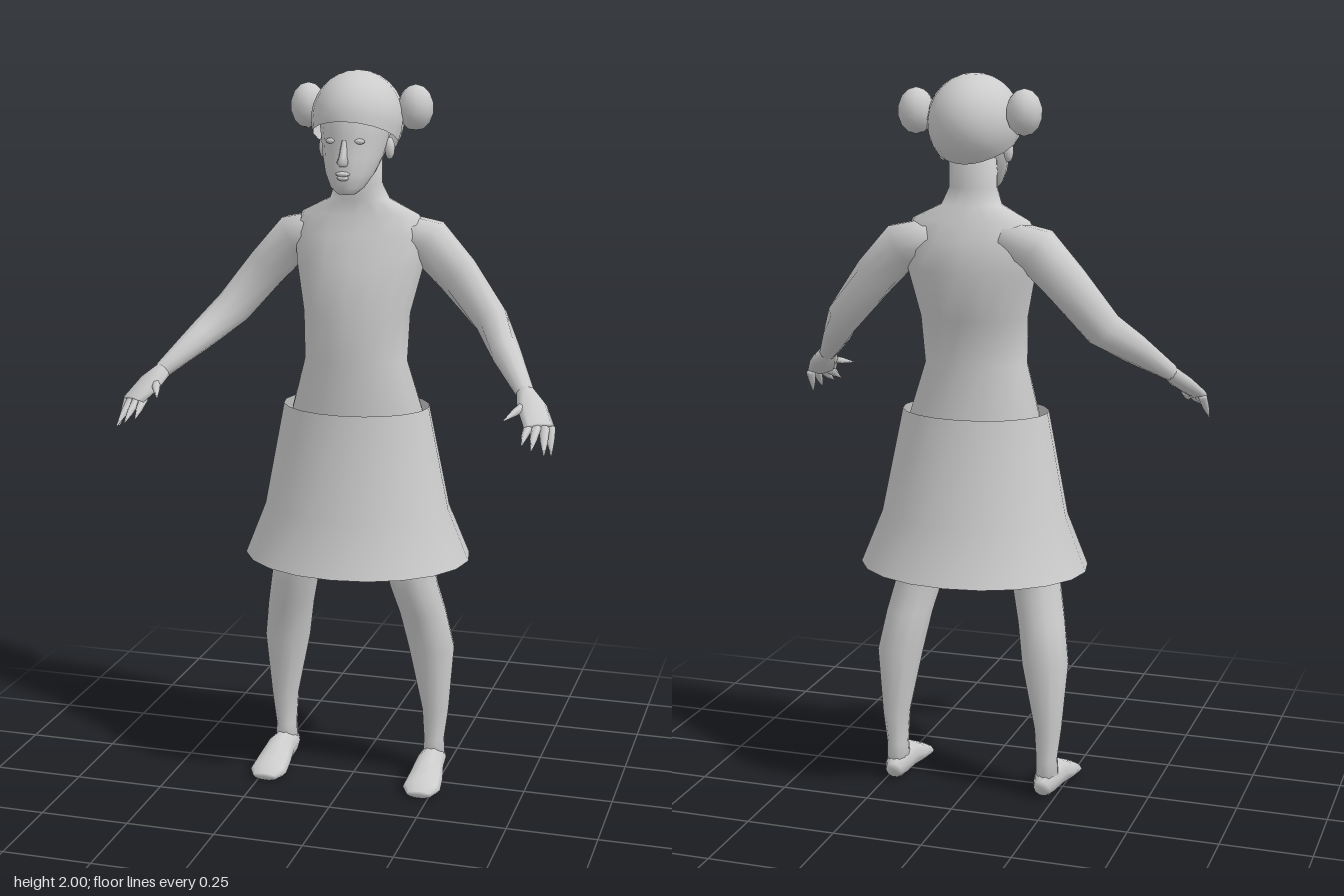
import * as THREE from 'three';

const clay = new THREE.MeshStandardMaterial({ color: 0xcccccc, side: THREE.DoubleSide });
clay.name = 'light grey';

const V = (x, y, z) => new THREE.Vector3(x, y, z);

// Skin between elliptical sections {c, u, v}; u x v points along the path
function loft(sections, n, capped = true) {
  const pos = [], index = [];
  for (const { c, u, v } of sections) {
    for (let i = 0; i < n; i++) {
      const a = (i / n) * Math.PI * 2;
      const p = c.clone().addScaledVector(u, Math.cos(a)).addScaledVector(v, Math.sin(a));
      pos.push(p.x, p.y, p.z);
    }
  }
  for (let j = 0; j < sections.length - 1; j++) {
    for (let i = 0; i < n; i++) {
      const a = j * n + i, b = j * n + (i + 1) % n;
      index.push(a, b, b + n, a, b + n, a + n);
    }
  }
  if (capped) {
    const last = (sections.length - 1) * n, k = sections.length * n;
    for (const s of [sections[0], sections[sections.length - 1]]) pos.push(s.c.x, s.c.y, s.c.z);
    for (let i = 0; i < n; i++) {
      const m = (i + 1) % n;
      index.push(k, m, i, k + 1, last + i, last + m);
    }
  }
  const g = new THREE.BufferGeometry();
  g.setAttribute('position', new THREE.Float32BufferAttribute(pos, 3));
  g.setIndex(index);
  g.computeVertexNormals();
  return g;
}

// Upright form, rows from bottom to top: [y, centreX, halfWidth, zFront, zBack]
const upright = (rows, n, capped) => loft(rows.map(([y, x, w, f, b]) => ({
  c: V(x, y, (f + b) / 2), u: V(w, 0, 0), v: V(0, 0, -(f - b) / 2),
})), n, capped);

// Form along a path: [x, y, z, halfWidth, halfHeight], mirrored by s
function limb(rows, s, n) {
  const pts = rows.map(r => V(r[0] * s, r[1], r[2]));
  return loft(rows.map((r, i) => {
    const t = pts[Math.min(i + 1, pts.length - 1)].clone().sub(pts[Math.max(i - 1, 0)]).normalize();
    const u = V(0, 1, 0).cross(t).normalize();
    const v = t.clone().cross(u);
    return { c: pts[i], u: u.multiplyScalar(r[3]), v: v.multiplyScalar(r[4]) };
  }), n);
}

// Ellipsoid cap whose rim is high over the forehead and low at the nape
function hairCap() {
  const n = 20, m = 9, pos = [], index = [];
  for (let j = 0; j <= m; j++) {
    for (let i = 0; i < n; i++) {
      const a = (i / n) * Math.PI * 2;
      const rim = THREE.MathUtils.degToRad(88 + 28 * (1 - Math.cos(a)));
      const t = rim * j / m;
      pos.push(0.124 * Math.sin(t) * Math.sin(a), 1.87 + 0.13 * Math.cos(t),
        -0.043 + 0.148 * Math.sin(t) * Math.cos(a));
    }
  }
  for (let j = 0; j < m; j++) {
    for (let i = 0; i < n; i++) {
      const a = j * n + i, b = j * n + (i + 1) % n;
      index.push(a, a + n, b + n, a, b + n, b);
    }
  }
  const g = new THREE.BufferGeometry();
  g.setAttribute('position', new THREE.Float32BufferAttribute(pos, 3));
  g.setIndex(index);
  g.computeVertexNormals();
  return g;
}

export function createModel() {
  const model = new THREE.Group();
  const add = (name, geometry) => {
    const mesh = new THREE.Mesh(geometry, clay);
    mesh.name = name;
    model.add(mesh);
    return mesh;
  };
  const ball = (name, x, y, z, rx, ry, rz, seg = 10) => {
    const mesh = add(name, new THREE.SphereGeometry(1, seg, Math.ceil(seg * 0.7)));
    mesh.position.set(x, y, z);
    mesh.scale.set(rx, ry, rz);
    return mesh;
  };

  // Torso and neck
  add('torso', upright([
    [0.86, 0, 0.10, 0.04, -0.11],
    [0.95, 0, 0.18, 0.08, -0.16],
    [1.07, 0, 0.188, 0.09, -0.17],
    [1.22, 0, 0.146, 0.075, -0.122],
    [1.35, 0, 0.15, 0.085, -0.16],
    [1.48, 0, 0.18, 0.052, -0.18],
    [1.56, 0, 0.19, 0.02, -0.162],
    [1.615, 0, 0.165, 0.0, -0.14],
    [1.655, 0, 0.085, -0.004, -0.122],
    [1.70, 0, 0.066, 0.004, -0.105],
    [1.80, 0, 0.066, 0.0, -0.11],
  ], 16));

  // Head and face
  add('head', upright([
    [1.682, 0, 0.025, 0.09, 0.045],
    [1.70, 0, 0.046, 0.103, 0.01],
    [1.735, 0, 0.066, 0.108, -0.05],
    [1.78, 0, 0.081, 0.104, -0.11],
    [1.83, 0, 0.091, 0.094, -0.14],
    [1.88, 0, 0.098, 0.097, -0.15],
    [1.93, 0, 0.085, 0.07, -0.13],
  ], 16));
  add('nose', upright([
    [1.757, 0, 0.010, 0.112, 0.09],
    [1.768, 0, 0.016, 0.130, 0.085],
    [1.785, 0, 0.011, 0.120, 0.085],
    [1.825, 0, 0.007, 0.100, 0.08],
  ], 6));
  ball('upperLip', 0, 1.738, 0.106, 0.020, 0.007, 0.012, 8);
  ball('lowerLip', 0, 1.727, 0.105, 0.016, 0.007, 0.011, 8);

  // Hair
  add('hair', hairCap());

  // Skirt, open at both ends
  add('skirt', upright([
    [0.655, 0, 0.32, 0.227, -0.312],
    [0.80, 0, 0.262, 0.176, -0.252],
    [1.09, 0, 0.205, 0.13, -0.19],
  ], 20, false));

  for (const s of [1, -1]) {
    const side = s > 0 ? 'left' : 'right';
    ball(side + 'HairBun', s * 0.15, 1.90, -0.08, 0.05, 0.062, 0.055);
    ball(side + 'Ear', s * 0.092, 1.795, -0.03, 0.014, 0.03, 0.02, 8);
    ball(side + 'Eye', s * 0.037, 1.822, 0.081, 0.017, 0.008, 0.010, 8);

    // Leg, from ankle up to hip
    add(side + 'Leg', upright([
      [0.04, s * 0.222, 0.032, -0.02, -0.108],
      [0.11, s * 0.222, 0.029, -0.026, -0.11],
      [0.20, s * 0.225, 0.038, -0.02, -0.115],
      [0.39, s * 0.213, 0.066, 0.01, -0.13],
      [0.50, s * 0.194, 0.067, 0.036, -0.103],
      [0.58, s * 0.175, 0.068, 0.065, -0.085],
      [0.68, s * 0.155, 0.071, 0.083, -0.075],
      [0.85, s * 0.115, 0.085, 0.085, -0.12],
      [0.98, s * 0.10, 0.08, 0.07, -0.14],
    ], 12));

    // Foot, from heel to toe
    add(side + 'Foot', limb([
      [0.22, 0.035, -0.112, 0.024, 0.025],
      [0.221, 0.045, -0.08, 0.034, 0.043],
      [0.223, 0.046, -0.01, 0.040, 0.046],
      [0.225, 0.032, 0.05, 0.050, 0.032],
      [0.226, 0.021, 0.10, 0.054, 0.021],
      [0.227, 0.014, 0.13, 0.036, 0.012],
    ], s, 10));

    // Arm, from inside the shoulder to the wrist
    add(side + 'Arm', limb([
      [0.10, 1.565, -0.08, 0.065, 0.055],
      [0.19, 1.54, -0.085, 0.062, 0.066],
      [0.27, 1.455, -0.083, 0.049, 0.060],
      [0.37, 1.335, -0.068, 0.043, 0.053],
      [0.43, 1.27, 0.03, 0.040, 0.042],
      [0.505, 1.19, 0.14, 0.025, 0.024],
    ], s, 10));
    add(side + 'Palm', limb([
      [0.50, 1.195, 0.132, 0.022, 0.022],
      [0.53, 1.16, 0.17, 0.042, 0.022],
      [0.56, 1.12, 0.225, 0.042, 0.014],
    ], s, 8));

    // Tapered fingers and thumb: [root, tip]
    const digits = [
      [[0.515, 1.165, 0.17], [0.475, 1.14, 0.265]],
      [[0.532, 1.122, 0.222], [0.528, 1.085, 0.293]],
      [[0.552, 1.118, 0.222], [0.555, 1.075, 0.303]],
      [[0.572, 1.115, 0.215], [0.585, 1.06, 0.285]],
      [[0.585, 1.115, 0.20], [0.596, 1.05, 0.242]],
    ];
    digits.forEach(([a, b], i) => add(side + (i ? 'Finger' + i : 'Thumb'), limb([
      [...a, 0.014, 0.013],
      [...a.map((k, j) => (k + b[j]) / 2), 0.010, 0.010],
      [...b, 0.002, 0.002],
    ], s, 6)));
  }
  return model;
}
